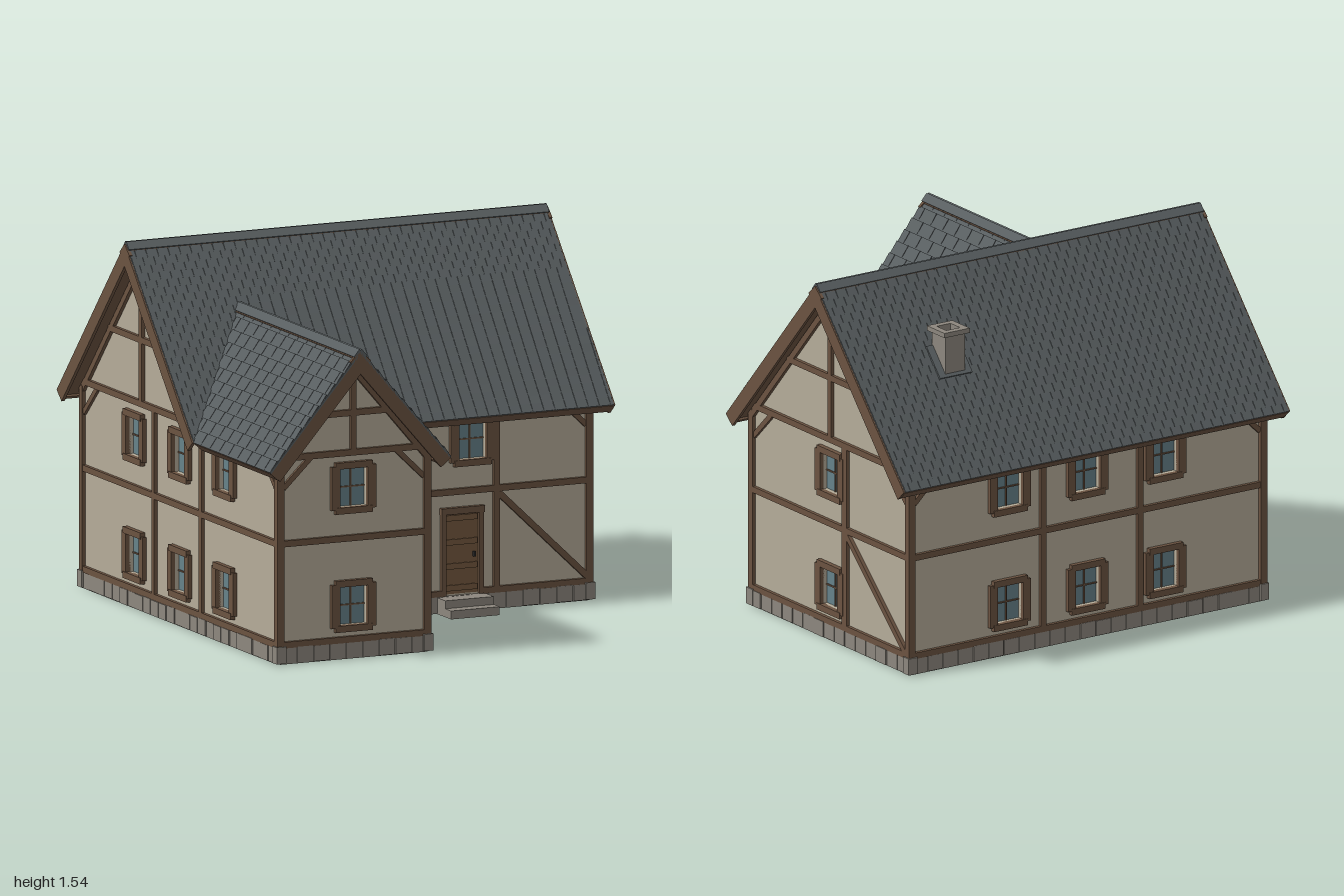
import * as THREE from 'three';
import { mergeGeometries } from 'three/addons/utils/BufferGeometryUtils.js';

const paint = (name, color) => Object.assign(new THREE.MeshStandardMaterial({ color }), { name });
const M = {
  plaster: paint('plaster', 0xb5ac99),
  timber: paint('timber', 0x6b5341),
  door: paint('door wood', 0x75593f),
  slate: paint('slate', 0x595f61),
  stone: paint('stone', 0x8d877e),
  glass: paint('glass', 0x66828a),
  iron: paint('iron', 0x2e2e2e),
};

let seed = 7;
const rnd = () => (seed = (seed * 16807) % 2147483647) / 2147483647;

// box from min to max corners
function box(x0, x1, y0, y1, z0, z1) {
  const g = new THREE.BoxGeometry(x1 - x0, y1 - y0, z1 - z0);
  return g.translate((x0 + x1) / 2, (y0 + y1) / 2, (z0 + z1) / 2);
}
// timber bar lying on a wall between two points
function bar(u0, y0, u1, y1, w = 0.026, out = 0.015) {
  const g = new THREE.BoxGeometry(Math.hypot(u1 - u0, y1 - y0), w, out + 0.005);
  g.rotateZ(Math.atan2(y1 - y0, u1 - u0));
  return g.translate((u0 + u1) / 2, (y0 + y1) / 2, (out - 0.005) / 2);
}
function add(group, name, geos, mat) {
  if (!geos.length) return;
  const mesh = new THREE.Mesh(mergeGeometries(geos.map(g => (g.index ? g.toNonIndexed() : g))), mat);
  mesh.name = name;
  group.add(mesh);
}
const shapeOf = pts => new THREE.Shape(pts.map(p => new THREE.Vector2(p[0], p[1])));
const rect = (u0, u1, y0, y1) => shapeOf([[u0, y0], [u1, y0], [u1, y1], [u0, y1]]);
const extrude = (shape, depth, z) =>
  new THREE.ExtrudeGeometry(shape, { depth, bevelEnabled: false }).translate(0, 0, z);

// One wall in its own frame: u along the wall, y up, z outward
function wall({ name, pos, turn, u0, u1, top, windows, bars, door, quoins = [u0, u1] }) {
  const g = new THREE.Group();
  g.name = name;
  g.position.set(pos[0], 0, pos[1]);
  g.rotation.y = turn;
  const shape = shapeOf([[u0, 0.06], [u1, 0.06], ...top]);
  const timber = bars.map(b => bar(...b)), frames = [], panes = [], stones = [];

  for (const u of windows) for (const y of [0.22, 0.71]) {
    if (door !== undefined && y < 0.5) continue;
    shape.holes.push(rect(u - 0.062, u + 0.062, y - 0.08, y + 0.08));
    panes.push(box(u - 0.062, u + 0.062, y - 0.08, y + 0.08, -0.024, -0.018));
    for (const s of [-1, 1]) {
      frames.push(box(u + s * 0.081 - 0.019, u + s * 0.081 + 0.019, y - 0.09, y + 0.09, -0.004, 0.018));
      frames.push(box(u - 0.083, u + 0.083, y + s * 0.0935 - 0.0135, y + s * 0.0935 + 0.0135, -0.004, 0.021));
    }
    frames.push(box(u - 0.003, u + 0.003, y - 0.08, y + 0.08, -0.027, -0.013));
    frames.push(box(u - 0.062, u + 0.062, y - 0.003, y + 0.003, -0.027, -0.013));
  }

  // door leaf, frame and handle
  if (door !== undefined) {
    shape.holes.push(rect(door - 0.075, door + 0.075, 0.075, 0.41));
    const leaf = [box(door - 0.075, door + 0.075, 0.075, 0.41, -0.045, 0)];
    for (const y of [0.1, 0.19, 0.29, 0.39]) leaf.push(box(door - 0.07, door + 0.07, y - 0.012, y + 0.012, 0, 0.006));
    add(g, 'door', leaf, M.door);
    for (const s of [-1, 1]) frames.push(box(door + s * 0.085 - 0.01, door + s * 0.085 + 0.01, 0.07, 0.42, -0.01, 0.018));
    frames.push(box(door - 0.097, door + 0.097, 0.408, 0.435, -0.01, 0.021));
    add(g, 'doorHandle', [box(door + 0.05, door + 0.06, 0.225, 0.245, 0, 0.016)], M.iron);
  }

  // corner posts and small top braces
  for (const [u, s] of [[u0, 1], [u1, -1]]) {
    timber.push(bar(u, 0.07, u, 0.84, 0.032, 0.016));
    timber.push(bar(u + s * 0.015, 0.73, u + s * 0.14, 0.85, 0.022, 0.012));
  }

  // stone plinth with uneven facing stones and corner blocks
  stones.push(box(u0, u1, 0, 0.068, -0.06, 0.01));
  const n = Math.round((u1 - u0) / 0.075), w = (u1 - u0) / n;
  for (let i = 0; i < n; i++)
    stones.push(box(u0 + i * w + 0.002, u0 + (i + 1) * w - 0.002, 0.003, 0.066 + rnd() * 0.004, 0, 0.012 + rnd() * 0.006));
  for (const u of quoins) stones.push(box(u - 0.022, u + 0.022, 0.005, 0.075, -0.02, 0.021));

  add(g, 'plasterWall', [extrude(shape, 0.05, -0.05)], M.plaster);
  add(g, 'timberFrame', timber, M.timber);
  add(g, 'windowAndDoorFrames', frames, M.timber);
  add(g, 'windowPanes', panes, M.glass);
  add(g, 'plinth', stones, M.stone);
  return g;
}

// One roof slope: u along the ridge, w horizontal distance from the ridge
function slope({ name, pos, turn, pitch, run, outline, spans, eave, ends, ridge, row, slateW }) {
  const g = new THREE.Group(), a = Math.atan(pitch), k = 1 / Math.cos(a), L = run * k;
  g.name = name;
  g.position.set(...pos);
  g.rotation.set(a - Math.PI / 2, turn, 0, 'YXZ');
  const shape = shapeOf(outline.map(([u, w]) => [u, -w * k]));
  add(g, 'roofDeck', [extrude(shape, 0.032, -0.04)], M.timber);
  const slates = [extrude(shape, 0.008, -0.008)];
  const rows = Math.round(L / row), h = L / rows;
  for (let r = 0; r < rows; r++) {
    const s = (r + 0.5) * h;
    for (const [a0, a1] of spans(s / k)) {
      for (let u = a0 - (r % 2 ? slateW / 2 : 0); u < a1; u += slateW) {
        const lo = Math.max(u, a0) + 0.0015, hi = Math.min(u + slateW, a1) - 0.0015;
        if (hi - lo < 0.005) continue;
        const p = new THREE.BoxGeometry(hi - lo, h, 0.004);
        slates.push(p.rotateX(0.08 + rnd() * 0.04).translate((lo + hi) / 2, -s, 0.001));
      }
    }
  }
  add(g, 'slates', slates, M.slate);
  add(g, 'ridgeCap', [box(...ridge, -0.035, 0.004, -0.002, 0.01)], M.slate);
  // eave fascia and gable barge boards
  const boards = [box(...eave, -L - 0.002, -L + 0.012, -0.05, -0.004)];
  for (const u of ends) boards.push(box(u - 0.007, u + 0.007, -L, 0, -0.062, -0.001));
  add(g, 'eaveAndBargeBoards', boards, M.timber);
  return g;
}

export function createModel() {
  const house = new THREE.Group();
  house.name = 'timberFramedHouse';
  const H = Math.PI / 2;
  const rails = (u0, u1, ...ys) => ys.map(y => [u0, y, u1, y]);

  house.add(
    wall({ name: 'mainFrontWall', pos: [0, 0.205], turn: 0, u0: -0.19, u1: 0.87, quoins: [0.87],
      top: [[0.87, 0.85], [-0.19, 0.85]], windows: [0.34], door: 0.295,
      bars: [...rails(-0.19, 0.87, 0.5, 0.835), ...rails(-0.19, 0.2, 0.08), ...rails(0.39, 0.87, 0.08),
        [0.45, 0.07, 0.45, 0.84], [0.46, 0.48, 0.86, 0.1]] }),
    wall({ name: 'mainGableWall', pos: [0.87, 0], turn: H, u0: -0.205, u1: 0.92,
      top: [[0.92, 0.845], [0.36, 1.47], [-0.205, 0.845]], windows: [0.36],
      bars: [...rails(-0.2, 0.92, 0.08, 0.5, 0.86), ...rails(0.055, 0.665, 1.125), [0.36, 0.86, 0.36, 1.46],
        [0.465, 0.07, 0.465, 0.86, 0.036], [0.48, 0.48, 0.9, 0.09],
        [-0.2, 0.82, 0.36, 1.445], [0.36, 1.445, 0.92, 0.82]] }),
    wall({ name: 'backWall', pos: [0, -0.92], turn: Math.PI, u0: -0.87, u1: 0.87,
      top: [[0.87, 0.85], [-0.87, 0.85]], windows: [-0.385, 0, 0.385],
      bars: [...rails(-0.87, 0.87, 0.08, 0.5, 0.835), [-0.22, 0.07, -0.22, 0.84], [0.26, 0.07, 0.26, 0.84]] }),
    wall({ name: 'longSideWall', pos: [-0.87, 0], turn: -H, u0: -0.92, u1: 0.92,
      top: [[0.92, 0.84], [0.205, 0.845], [-0.36, 1.47], [-0.92, 0.845]], windows: [-0.43, 0, 0.42],
      bars: [...rails(-0.92, 0.92, 0.08, 0.5), ...rails(-0.92, 0.2, 0.86), ...rails(0.2, 0.92, 0.83),
        ...rails(-0.665, -0.055, 1.125), [-0.36, 0.86, -0.36, 1.46], [-0.24, 0.07, -0.24, 0.86],
        [0.205, 0.07, 0.205, 0.85], [-0.92, 0.82, -0.36, 1.445], [-0.36, 1.445, 0.2, 0.82]] }),
    wall({ name: 'wingFrontWall', pos: [0, 0.92], turn: 0, u0: -0.87, u1: -0.205,
      top: [[-0.205, 0.835], [-0.54, 1.224], [-0.87, 0.84]], windows: [-0.54],
      bars: [...rails(-0.87, -0.205, 0.08, 0.5, 0.855), ...rails(-0.71, -0.37, 1.02), [-0.54, 0.86, -0.54, 1.22],
        [-0.87, 0.815, -0.54, 1.2], [-0.54, 1.2, -0.205, 0.81]] }),
    wall({ name: 'wingSideWall', pos: [-0.205, 0], turn: H, u0: -0.92, u1: -0.205, quoins: [-0.92],
      top: [[-0.205, 0.84], [-0.92, 0.84]], windows: [-0.565],
      bars: [...rails(-0.92, -0.205, 0.08, 0.5, 0.83), [-0.463, 0.07, -0.463, 0.84, 0.032], [-0.445, 0.48, -0.22, 0.09]] }),
  );

  // main roof, notched where the wing roof joins
  const main = { pitch: 1.117, run: 0.64, ridge: [-0.95, 0.95], ends: [-0.949, 0.949], row: 0.037, slateW: 0.05, pos: [0, 1.53, -0.36] };
  const wing = { pitch: 1.146, run: 0.41, row: 0.058, slateW: 0.085, pos: [-0.54, 1.285, 0] };
  const notch = w => ((w - 0.22) / 0.42) * 0.41;
  const valley = w => 0.14 - (w / 0.41) * 0.42;
  const back = slope({ ...main, name: 'mainRoofBack', turn: Math.PI, eave: [-0.95, 0.95],
    outline: [[-0.95, 0], [-0.95, 0.64], [0.95, 0.64], [0.95, 0]], spans: () => [[-0.95, 0.95]] });
  // slate skirt around the chimney
  add(back, 'chimneySkirt', [box(-0.575, -0.415, -0.51, -0.36, 0, 0.01)], M.slate);
  house.add(
    back,
    slope({ ...main, name: 'mainRoofFront', turn: 0, eave: [-0.13, 0.95],
      outline: [[-0.95, 0], [-0.95, 0.64], [-0.54, 0.22], [-0.13, 0.64], [0.95, 0.64], [0.95, 0]],
      spans: w => (w < 0.22 ? [[-0.95, 0.95]] : [[-0.95, -0.54 - notch(w)], [-0.54 + notch(w), 0.95]]) }),
    slope({ ...wing, name: 'wingRoofInner', turn: H, eave: [-1, -0.28], ends: [-0.993], ridge: [-1, 0.14],
      outline: [[-1, 0], [-1, 0.41], [-0.28, 0.41], [0.14, 0]], spans: w => [[-1, valley(w)]] }),
    slope({ ...wing, name: 'wingRoofOuter', turn: -H, eave: [0.28, 1], ends: [0.993], ridge: [-0.14, 1],
      outline: [[-0.14, 0], [0.28, 0.41], [1, 0.41], [1, 0]], spans: w => [[-valley(w), 1]] }),
  );

  // hollow chimney with a wider cap
  const chimney = new THREE.Group();
  chimney.name = 'chimney';
  chimney.position.set(0.495, 0, -0.65);
  const tube = (r, y0, y1) => {
    const s = rect(-r, r, -r, r);
    s.holes.push(rect(-0.034, 0.034, -0.034, 0.034));
    return extrude(s, y1 - y0, 0).rotateX(-H).translate(0, y0, 0);
  };
  add(chimney, 'chimneyStack', [tube(0.048, 1.12, 1.33), tube(0.063, 1.328, 1.348)], M.stone);
  add(chimney, 'flue', [box(-0.034, 0.034, 1.2, 1.27, -0.034, 0.034)], M.stone);
  house.add(chimney);

  // door steps
  add(house, 'doorSteps', [box(0.18, 0.4, 0, 0.035, 0.2, 0.348), box(0.18, 0.4, 0.035, 0.068, 0.2, 0.295)], M.stone);
  return house;
}
